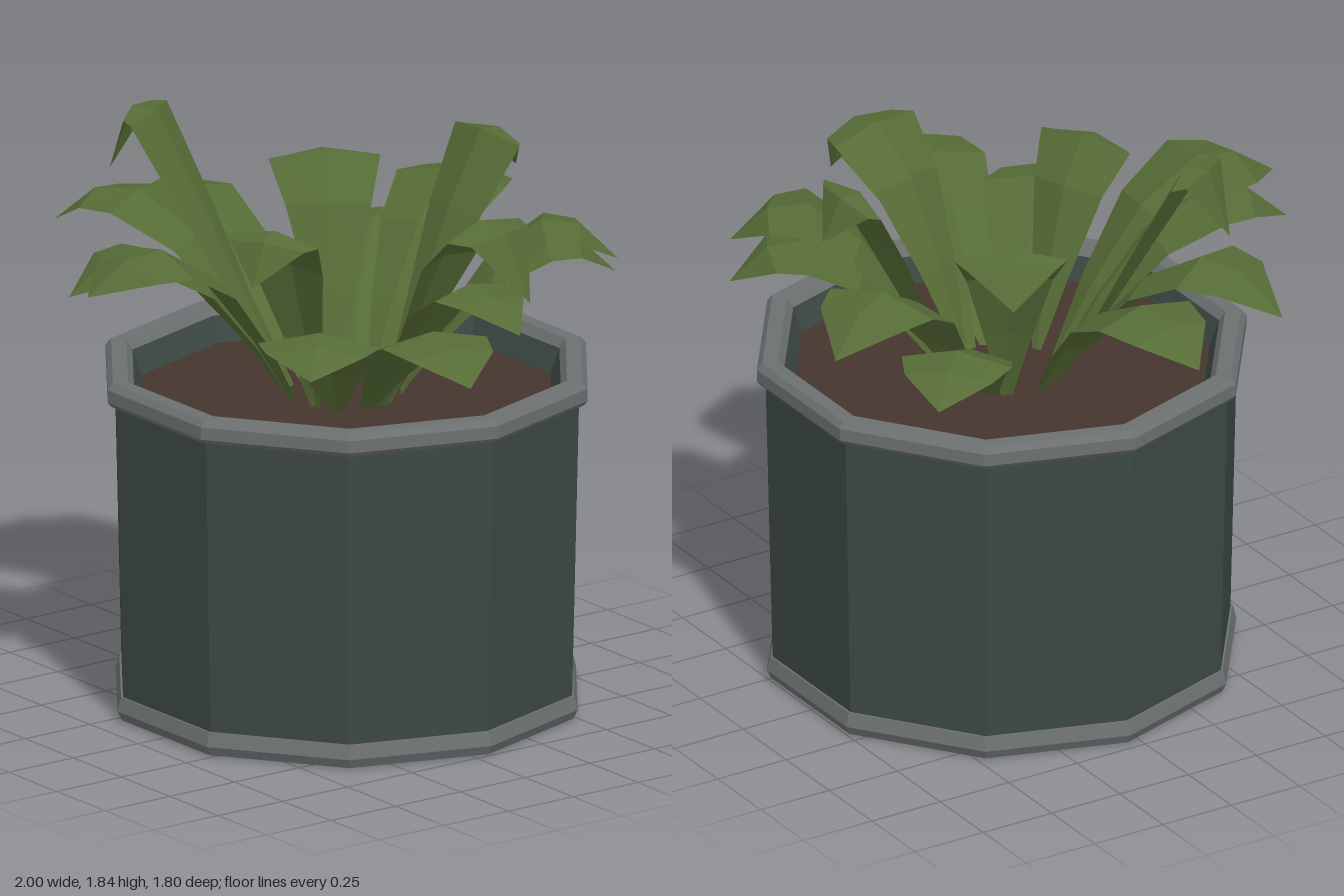
import * as THREE from 'three';

const CX = 0.015, CZ = -0.045; // pot axis

const mat = (name, color, extra = {}) => {
  const m = new THREE.MeshStandardMaterial({ color, flatShading: true, ...extra });
  m.name = name;
  return m;
};

// Ten-sided turned part; flats face front and back
function turned(name, profile, material) {
  const pts = profile.map(([r, y]) => new THREE.Vector2(r, y));
  const mesh = new THREE.Mesh(new THREE.LatheGeometry(pts, 10, Math.PI / 10), material);
  mesh.position.set(CX, 0, CZ);
  mesh.name = name;
  return mesh;
}

// Leaf rows as [fraction of reach, fraction of peak height]: upright and arching
const UPRIGHT = [[0, 0], [0.25, 0.32], [0.5, 0.67], [0.75, 1], [0.88, 1]];
const ARCHED = [[0, 0], [0.18, 0.4], [0.4, 0.79], [0.65, 1], [0.83, 0.97]];
const HALF_WIDTH = [0.015, 0.075, 0.135, 0.175, 0.14, 0];
const SOIL_Y = 0.99, START = 0.17, RIDGE = 0.035;

// Ridged leaf from the soil over a peak height to its tip
function leaf([tx, ty, tz, peak, width = 1], material) {
  const dx = tx, dz = tz - CZ;
  const reach = Math.hypot(dx, dz), ux = dx / reach, uz = dz / reach;
  const bend = THREE.MathUtils.clamp((1.78 - peak) / 0.12, 0, 1);
  const path = UPRIGHT.map(([f, h], i) => [
    START + (reach - START) * THREE.MathUtils.lerp(f, ARCHED[i][0], bend),
    SOIL_Y - 0.01 + (peak - SOIL_Y + 0.01) * THREE.MathUtils.lerp(h, ARCHED[i][1], bend),
  ]);
  path.push([reach, ty]);
  const pos = [], idx = [];
  path.forEach(([r, y], i) => {
    const a = path[Math.max(i - 1, 0)], b = path[Math.min(i + 1, path.length - 1)];
    const len = Math.hypot(b[0] - a[0], b[1] - a[1]);
    const nr = -(b[1] - a[1]) / len, ny = (b[0] - a[0]) / len;
    const w = HALF_WIDTH[i] * width;
    const drop = RIDGE * (w / 0.17);
    for (const s of [-1, 0, 1]) {
      const d = s ? drop : 0;
      const rr = r - nr * d, yy = y - ny * d;
      pos.push(ux * rr - uz * w * s, yy, CZ + uz * rr + ux * w * s);
    }
    if (i) {
      for (const k of [0, 1]) {
        const p = (i - 1) * 3 + k, q = i * 3 + k;
        idx.push(p, p + 1, q, p + 1, q + 1, q);
      }
    }
  });
  const g = new THREE.BufferGeometry();
  g.setAttribute('position', new THREE.Float32BufferAttribute(pos, 3));
  g.setIndex(idx);
  g.computeVertexNormals();
  const mesh = new THREE.Mesh(g, material);
  mesh.name = 'leaf';
  return mesh;
}

// Tip x, y, z, peak height, width factor
const LEAVES = [
  [-1.0, 1.39, 0.04, 1.5],
  [-0.88, 1.42, 0.42, 1.56],
  [-0.67, 1.63, 0.36, 1.84, 0.85],
  [-0.25, 1.4, 0.83, 1.53, 1.1],
  [-0.06, 1.46, 0.9, 1.57, 1.2],
  [0.22, 1.48, 0.47, 1.63, 0.95],
  [0.6, 1.28, 0.53, 1.37, 1.1],
  [1.0, 1.3, 0.21, 1.4],
  [0.88, 1.39, -0.07, 1.5, 0.85],
  [0.73, 1.43, -0.22, 1.66],
  [0.49, 1.42, -0.74, 1.55],
  [0.38, 1.34, -0.81, 1.47],
  [0, 1.61, -0.71, 1.75, 0.95],
  [-0.38, 1.41, -0.9, 1.54, 1.1],
  [-0.63, 1.28, -0.68, 1.37],
  [-0.54, 1.5, -0.35, 1.64],
];

export function createModel() {
  const pot = mat('dark slate green', 0x3c4844);
  const trim = mat('grey trim', 0x6c7070);
  const earth = mat('brown soil', 0x45352d);
  const green = mat('leaf green', 0x566c36, { side: THREE.DoubleSide });

  const model = new THREE.Group();
  model.name = 'pottedPlant';

  // Pot with closed floor
  model.add(turned('potWall', [[0.731, 0.06], [0.754, 1.04]], pot));
  model.add(turned('potFloor', [[0, 0.005], [0.69, 0.005]], pot));
  model.add(turned('potInside', [[0.695, 1.07], [0.655, 0.96]], pot));

  // Base band and rim
  model.add(turned('baseBand', [[0.685, 0.005], [0.69, 0], [0.735, 0.005], [0.75, 0.035], [0.738, 0.08], [0.725, 0.08]], trim));
  model.add(turned('rim', [[0.745, 1.025], [0.77, 1.025], [0.782, 1.04], [0.782, 1.08], [0.765, 1.1], [0.715, 1.1], [0.695, 1.07]], trim));

  // Soil
  model.add(turned('soil', [[0.67, SOIL_Y], [0, SOIL_Y]], earth));

  // Foliage
  const foliage = new THREE.Group();
  foliage.name = 'foliage';
  for (const spec of LEAVES) foliage.add(leaf(spec, green));
  model.add(foliage);

  return model;
}
